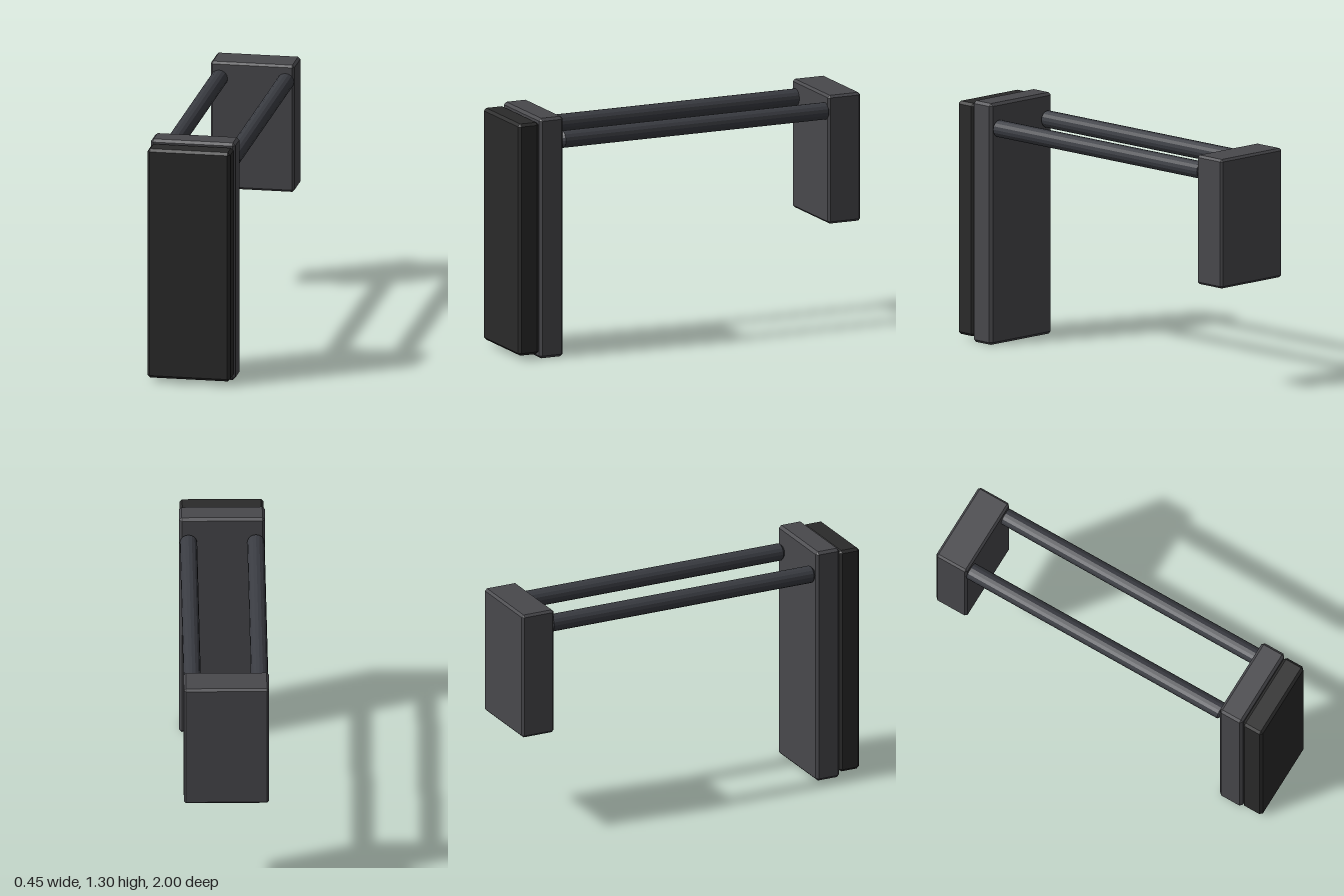
import * as THREE from 'three';
import { ConvexGeometry } from 'three/addons/geometries/ConvexGeometry.js';

const bodyMaterial = new THREE.MeshStandardMaterial({ color: 0x48484c });
const padMaterial = new THREE.MeshStandardMaterial({ color: 0x2a2a2a });
const rodMaterial = new THREE.MeshStandardMaterial({ color: 0x3a3c42, flatShading: true });

// Box with every edge cut at 45 degrees, given by its half width and y and z ranges
function chamferedBox(name, halfWidth, [y0, y1], [z0, z1], cut, material) {
  const half = [halfWidth, (y1 - y0) / 2, (z1 - z0) / 2];
  const points = [];
  for (const sx of [-1, 1]) for (const sy of [-1, 1]) for (const sz of [-1, 1]) {
    for (let axis = 0; axis < 3; axis++) {
      const [x, y, z] = half.map((h, i) => (i === axis ? h : h - cut));
      points.push(new THREE.Vector3(sx * x, sy * y, sz * z));
    }
  }
  const mesh = new THREE.Mesh(new ConvexGeometry(points), material);
  mesh.name = name;
  mesh.position.set(0, (y0 + y1) / 2, (z0 + z1) / 2);
  return mesh;
}

// Round bar along z with chamfered ends
function rod(name, x, y, z0, z1, radius, cut) {
  const length = z1 - z0;
  const profile = [
    [0, 0], [radius - cut, 0], [radius, cut],
    [radius, length - cut], [radius - cut, length], [0, length],
  ].map(([r, h]) => new THREE.Vector2(r, h));
  const geometry = new THREE.LatheGeometry(profile, 16);
  geometry.rotateX(Math.PI / 2);
  const mesh = new THREE.Mesh(geometry, rodMaterial);
  mesh.name = name;
  mesh.position.set(x, y, z0);
  return mesh;
}

export function createModel() {
  const model = new THREE.Group();
  model.name = 'twinRodBracket';

  // Tall front plate with its dark pad
  model.add(chamferedBox('frontPlate', 0.227, [0, 1.3], [0.74, 0.88], 0.014, bodyMaterial));
  model.add(chamferedBox('frontPad', 0.222, [0.025, 1.28], [0.88, 1], 0.014, padMaterial));

  // Shorter block at the back
  model.add(chamferedBox('backBlock', 0.225, [0.56, 1.255], [-1, -0.81], 0.012, bodyMaterial));

  // Pair of rods joining front and back
  for (const side of [-1, 1]) {
    model.add(rod(side > 0 ? 'leftRod' : 'rightRod', side * 0.178, 1.165, -0.825, 0.74, 0.046, 0.014));
  }
  return model;
}
